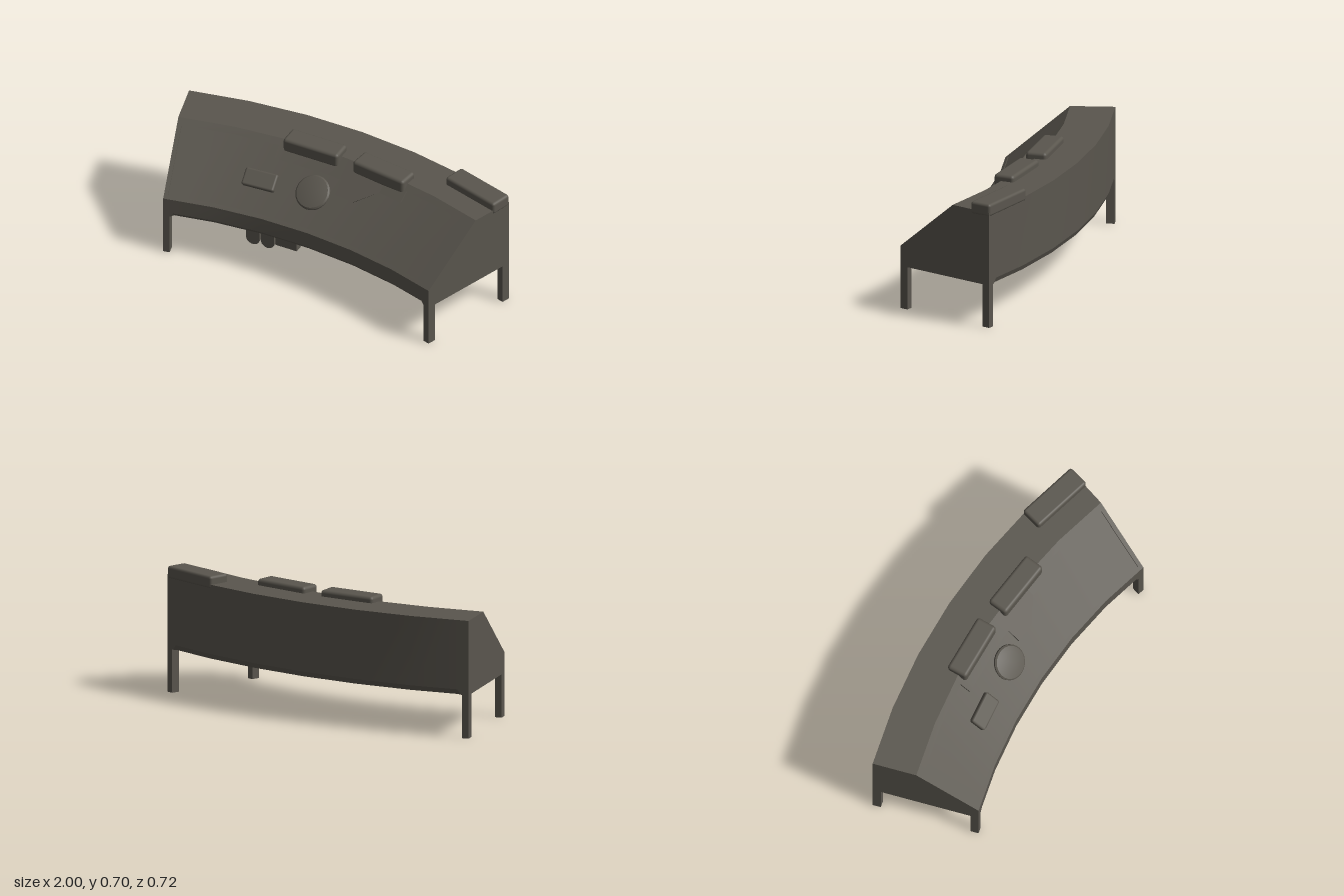
import * as THREE from 'three';
import { toCreasedNormals } from 'three/addons/utils/BufferGeometryUtils.js';
import { RoundedBoxGeometry } from 'three/addons/geometries/RoundedBoxGeometry.js';

// The desk follows an arc of six straight segments; u runs from -3 (right end) to 3 (left end).
const CX = -0.033, CZ = 3.137, STEP = 0.0965, TILT = 0.01;
const R0 = 2.905, R1 = 3.255, R2 = 3.5;      // radii: front, top of slope, back
const Y0 = 0.24, Y1 = 0.355, Y2 = 0.652;     // heights: underside, foot of slope, top
const PITCH = Math.atan2(Y2 - Y1, R1 - R0);

function corner(u, r, y) {
  const a = u * STEP + TILT;
  return new THREE.Vector3(CX + r * Math.sin(a), y, CZ - r * Math.cos(a));
}
function onArc(u, r, y) {
  const i = Math.min(2, Math.floor(u));
  return corner(i, r, y).lerp(corner(i + 1, r, y), u - i);
}

// Skin a row of convex cross-sections, each { u, profile: [[r, y], ...] }, and cap both ends.
function loft(sections) {
  const rows = sections.map(s => s.profile.map(([r, y]) => onArc(s.u, r, y)));
  const n = rows[0].length, pos = [];
  const tri = (...pts) => pts.forEach(p => pos.push(p.x, p.y, p.z));
  for (let i = 0; i < rows.length - 1; i++) {
    for (let k = 0; k < n; k++) {
      const m = (k + 1) % n, a = rows[i], b = rows[i + 1];
      tri(a[k], b[k], b[m]);
      tri(a[k], b[m], a[m]);
    }
  }
  const first = rows[0], last = rows[rows.length - 1];
  for (let k = 1; k < n - 1; k++) {
    tri(first[0], first[k], first[k + 1]);
    tri(last[0], last[k + 1], last[k]);
  }
  const g = new THREE.BufferGeometry();
  g.setAttribute('position', new THREE.Float32BufferAttribute(pos, 3));
  return toCreasedNormals(g, 0.3);
}

export function createModel() {
  const model = new THREE.Group();
  model.name = 'curvedConsole';
  const mat = new THREE.MeshStandardMaterial({ color: 0x5a564e });
  mat.name = 'dark warm grey';

  function add(name, geometry) {
    const mesh = new THREE.Mesh(geometry, mat);
    mesh.name = name;
    model.add(mesh);
    return mesh;
  }
  // Stand a part on the arc at x, facing the operator; pitch leans it onto the slope
  function put(name, geometry, x, r, y, pitch = 0) {
    const a = Math.asin((x - CX) / r);
    const mesh = add(name, geometry);
    mesh.position.set(x, y, CZ - r * Math.cos(a));
    mesh.rotation.set(pitch, -a, 0, 'YXZ');
    return mesh;
  }

  // Body, with its slope sunk below the frame and its lower edges notched between the legs
  const SINK_Y = 0.012, SINK_R = 0.0141;
  const body = c => [
    [R0 + 0.02 * c, Y0], [R0, Y0 + 0.025 * c], [R0, Y1 - SINK_Y], [R1 + SINK_R, Y2],
    [R2, Y2], [R2, Y0 + 0.028 * c], [R2 - 0.012 * c, Y0],
  ];
  add('body', loft([-3, -2.87, -2.8, -2, -1, 0, 1, 2, 2.8, 2.87, 3].map(u => ({
    u, profile: body(Math.abs(u) > 2.85 ? 0 : 1),
  }))));

  // Raised frame around the control panel; t runs up the slope from 0 to 1
  const outer = t => [R0 + (R1 - R0) * t, Y1 + (Y2 - Y1) * t];
  const inner = t => [R0 + (R1 + SINK_R - R0) * t, Y1 - SINK_Y + (Y2 - Y1 + SINK_Y) * t];
  const frame = (name, cuts) => add(name, loft(cuts.map(([u, t0, t1]) => ({
    u, profile: [outer(t0), outer(t1), inner(t1), inner(t0)],
  }))));
  const EDGE = 2.92;
  frame('frameRight', [[-3, 0, 1], [-EDGE, 0, 1]]);
  frame('frameLeft', [[EDGE, 0, 1], [3, 0, 1]]);
  frame('frameBottom', [-EDGE, -2, -1, 0, 1, 2, EDGE].map(u => [u, 0, 0.05]));
  const topRuns = [
    [[-EDGE, 0.91], [-2, 0.91], [-1.13, 0.91]],
    [[-1.13, 0.74], [-1, 0.74], [0, 0.74], [0.21, 0.74]],
    [[0.21, 0.54], [0.61, 0.54]],
    [[0.61, 0.54], [1, 0.76]],
    [[1, 0.76], [1.47, 0.76]],
    [[1.47, 0.91], [2, 0.91], [EDGE, 0.91]],
  ];
  topRuns.forEach(run => frame('frameTop', run.map(([u, t]) => [u, t, 1])));

  // Legs at the four corners
  const leg = (name, u0, u1, r0, r1) => add(name, loft([u0, u1].map(u => ({
    u, profile: [[r0, 0], [r0, Y0], [r1, Y0], [r1, 0]],
  }))));
  for (const [side, s] of [['Left', 1], ['Right', -1]]) {
    const span = w => (s > 0 ? [3 - w, 3] : [-3, -3 + w]);
    leg('frontLeg' + side, ...span(0.13), R0, R0 + 0.046);
    leg('backLeg' + side, ...span(0.11), R2 - 0.046, R2);
  }

  // Display housings on top
  put('centreHousing', new RoundedBoxGeometry(0.335, 0.085, 0.118, 2, 0.018), -0.155, 3.26, 0.644);
  put('sideHousing', new RoundedBoxGeometry(0.335, 0.085, 0.118, 2, 0.018), 0.278, 3.262, 0.644);
  put('cornerHousing', new RoundedBoxGeometry(0.36, 0.07, 0.125, 2, 0.015), 0.812, 3.437, 0.663);

  // Dial and button plate lying on the sloped panel
  const slopeR = y => R0 + (y - Y1) * (R1 - R0) / (Y2 - Y1);
  const dialProfile = [[0, -0.02], [0.098, -0.02], [0.098, 0.003], [0.09, 0.011], [0.06, 0.016], [0, 0.018]]
    .map(p => new THREE.Vector2(...p));
  put('dial', toCreasedNormals(new THREE.LatheGeometry(dialProfile, 28), 0.6),
    -0.065, slopeR(0.498), 0.498, PITCH);
  put('buttonPlate', new RoundedBoxGeometry(0.19, 0.04, 0.1, 2, 0.012),
    -0.373, slopeR(0.488), 0.488, PITCH);

  // Foot pedals with rounded undersides, and the block beside them
  const pedal = new THREE.Shape();
  pedal.moveTo(-0.04, 0.09);
  pedal.lineTo(-0.04, 0.04);
  pedal.absarc(0, 0.04, 0.04, Math.PI, Math.PI * 2, false);
  pedal.lineTo(0.04, 0.09);
  const pedalGeo = new THREE.ExtrudeGeometry(pedal, { depth: 0.09, bevelEnabled: false, curveSegments: 6 });
  pedalGeo.translate(0, 0, -0.045);
  const pedalSmooth = toCreasedNormals(pedalGeo, 0.6);
  put('rightPedal', pedalSmooth, -0.348, 2.97, 0.155);
  put('leftPedal', pedalSmooth, -0.26, 2.97, 0.155);
  put('pedalBlock', new THREE.BoxGeometry(0.13, 0.05, 0.105), -0.143, 2.97, 0.222);

  return model;
}
